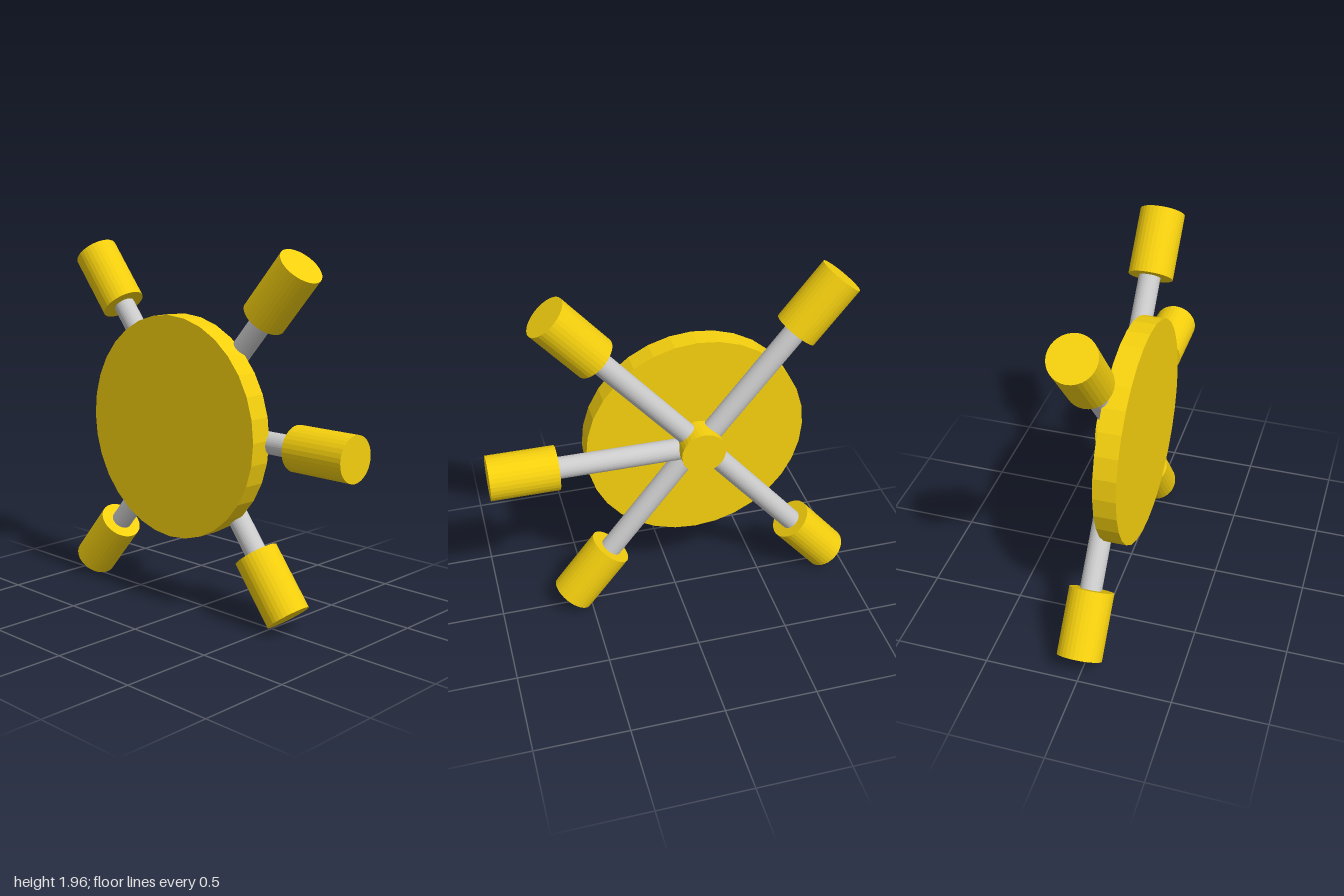
import * as THREE from 'three';

const SIDES = 32;
const CENTRE = new THREE.Vector3(-0.12, 0.995, -0.016);

export function createModel() {
  const model = new THREE.Group();
  model.name = 'spokedWheel';
  const yellow = new THREE.MeshStandardMaterial({ color: 0xf4cf0e, flatShading: true });
  const grey = new THREE.MeshStandardMaterial({ color: 0xcccccc, flatShading: true });
  const up = new THREE.Vector3(0, 1, 0);

  // Capped cylinder running from one point to another
  function cylinderBetween(name, a, b, radius, material) {
    const dir = b.clone().sub(a);
    const mesh = new THREE.Mesh(new THREE.CylinderGeometry(radius, radius, dir.length(), SIDES), material);
    mesh.name = name;
    mesh.position.copy(a).add(b).multiplyScalar(0.5);
    mesh.quaternion.setFromUnitVectors(up, dir.normalize());
    model.add(mesh);
  }
  const at = (x, y, z = CENTRE.z) => new THREE.Vector3(x, y, z);

  // Front disc and the hub behind it
  cylinderBetween('disc', at(-0.12, 0.997, 0.01), at(-0.12, 0.997, 0.13), 0.598, yellow);
  cylinderBetween('hub', at(-0.125, 0.995, -0.125), at(-0.125, 0.995, 0.02), 0.12, yellow);

  // Five spokes, each ending in a grip: inner and outer grip centres
  const arms = [
    ['right', 0.64, 0.977, 1.0, 0.977],
    ['upperRight', 0.415, 1.608, 0.647, 1.873],
    ['upperLeft', -0.635, 1.608, -0.86, 1.888],
    ['lowerLeft', -0.68, 0.35, -0.91, 0.08],
    ['lowerRight', 0.374, 0.374, 0.599, 0.084],
  ];
  for (const [side, x0, y0, x1, y1] of arms) {
    const inner = at(x0, y0), outer = at(x1, y1);
    // Spoke follows the grip's axis back into the hub
    const axis = outer.clone().sub(inner).normalize();
    const reach = inner.clone().sub(CENTRE).dot(axis);
    const root = inner.clone().addScaledVector(axis, -reach);
    const tip = inner.clone().addScaledVector(axis, 0.1);
    root.z = tip.z = -0.021;
    cylinderBetween(side + 'Spoke', root, tip, 0.058, grey);
    cylinderBetween(side + 'Grip', inner, outer, 0.119, yellow);
  }
  return model;
}
